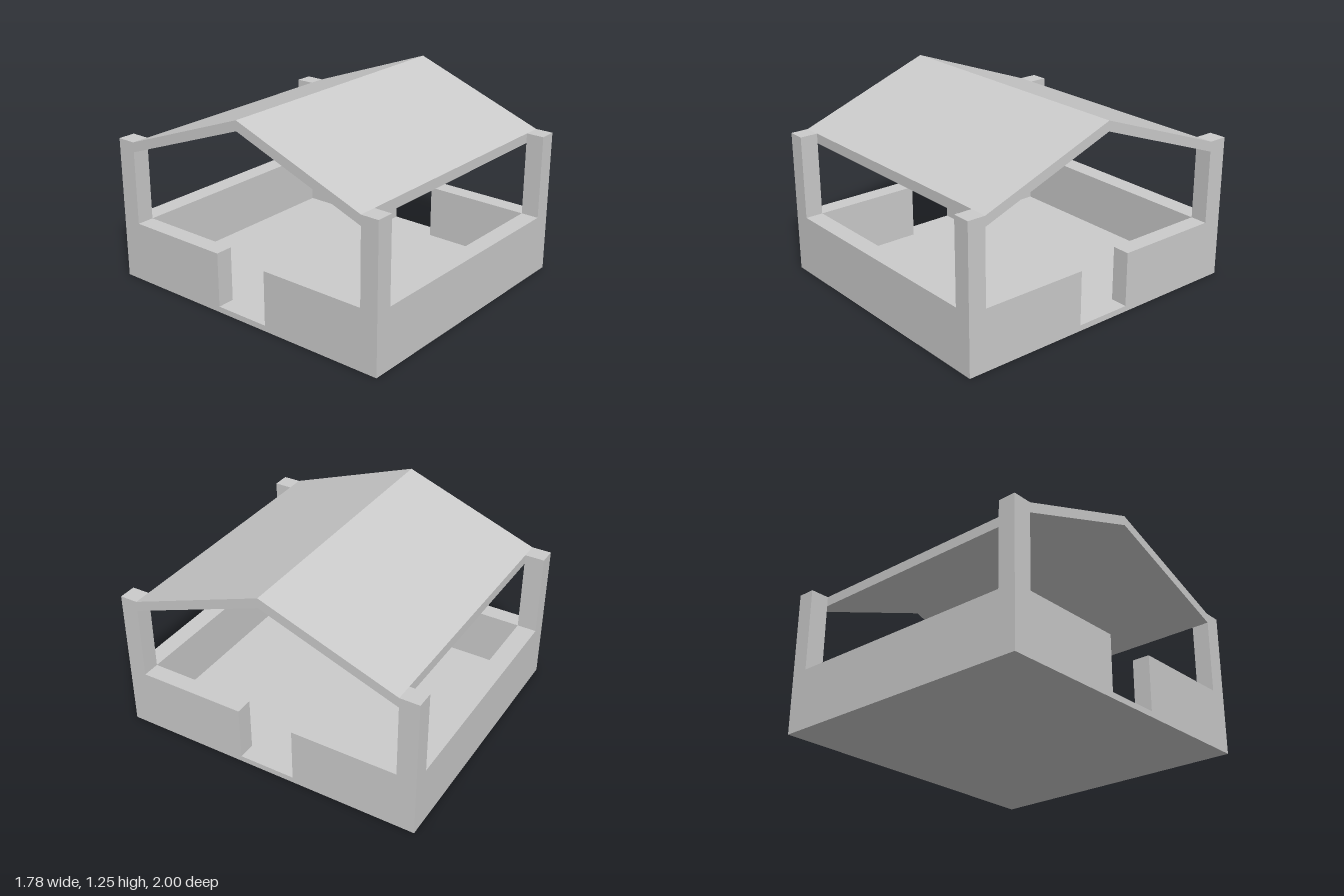
import * as THREE from 'three';

const material = new THREE.MeshStandardMaterial({ color: 0xcccccc });

// Main dimensions
const X = 0.888, XIN = 0.775;          // outer and inner half width
const FRONT = 0.885, BACK = -0.875;    // inner faces of front and back walls
const DOOR = 0.185;                    // half width of the doorways
const FLOOR = 0.037, SILL = 0.387, EAVE = 0.925;
const RIDGE = 1.25, RIDGE_Z = 0.006, ROOF_DROP = 0.064;

// Box given by its limits on each axis
function block(name, [x0, x1], [y0, y1], [z0, z1]) {
  const geometry = new THREE.BoxGeometry(x1 - x0, y1 - y0, z1 - z0);
  geometry.translate((x0 + x1) / 2, (y0 + y1) / 2, (z0 + z1) / 2);
  const mesh = new THREE.Mesh(geometry, material);
  mesh.name = name;
  return mesh;
}

// Gabled roof sheet: profile in z and y, extruded across the width
function roof() {
  const top = [[FRONT, EAVE], [RIDGE_Z, RIDGE], [BACK, EAVE]];
  const under = top.map(([z, y]) => [z, y - ROOF_DROP]).reverse();
  const shape = new THREE.Shape([...top, ...under].map(([z, y]) => new THREE.Vector2(z, y)));
  const geometry = new THREE.ExtrudeGeometry(shape, { depth: 2 * X, bevelEnabled: false });
  geometry.rotateY(-Math.PI / 2).translate(X, 0, 0);
  const mesh = new THREE.Mesh(geometry, material);
  mesh.name = 'roof';
  return mesh;
}

export function createModel() {
  const group = new THREE.Group();
  group.name = 'pavilion';
  group.add(block('floor', [-X, X], [0, FLOOR], [-1, 1]), roof());

  // Low walls along the front and back
  group.add(block('frontWall', [-X, X], [FLOOR, SILL], [FRONT, 1]));
  group.add(block('backWall', [-X, X], [FLOOR, SILL], [-1, BACK]));

  // Side walls split by a doorway, and a post on each corner
  for (const [side, xs] of [['left', [XIN, X]], ['right', [-X, -XIN]]]) {
    group.add(block(side + 'FrontSideWall', xs, [FLOOR, SILL], [DOOR, FRONT]));
    group.add(block(side + 'BackSideWall', xs, [FLOOR, SILL], [BACK, -DOOR]));
    group.add(block(side + 'FrontPost', xs, [SILL, EAVE], [FRONT, 1]));
    group.add(block(side + 'BackPost', xs, [SILL, EAVE], [-1, BACK]));
  }
  return group;
}
